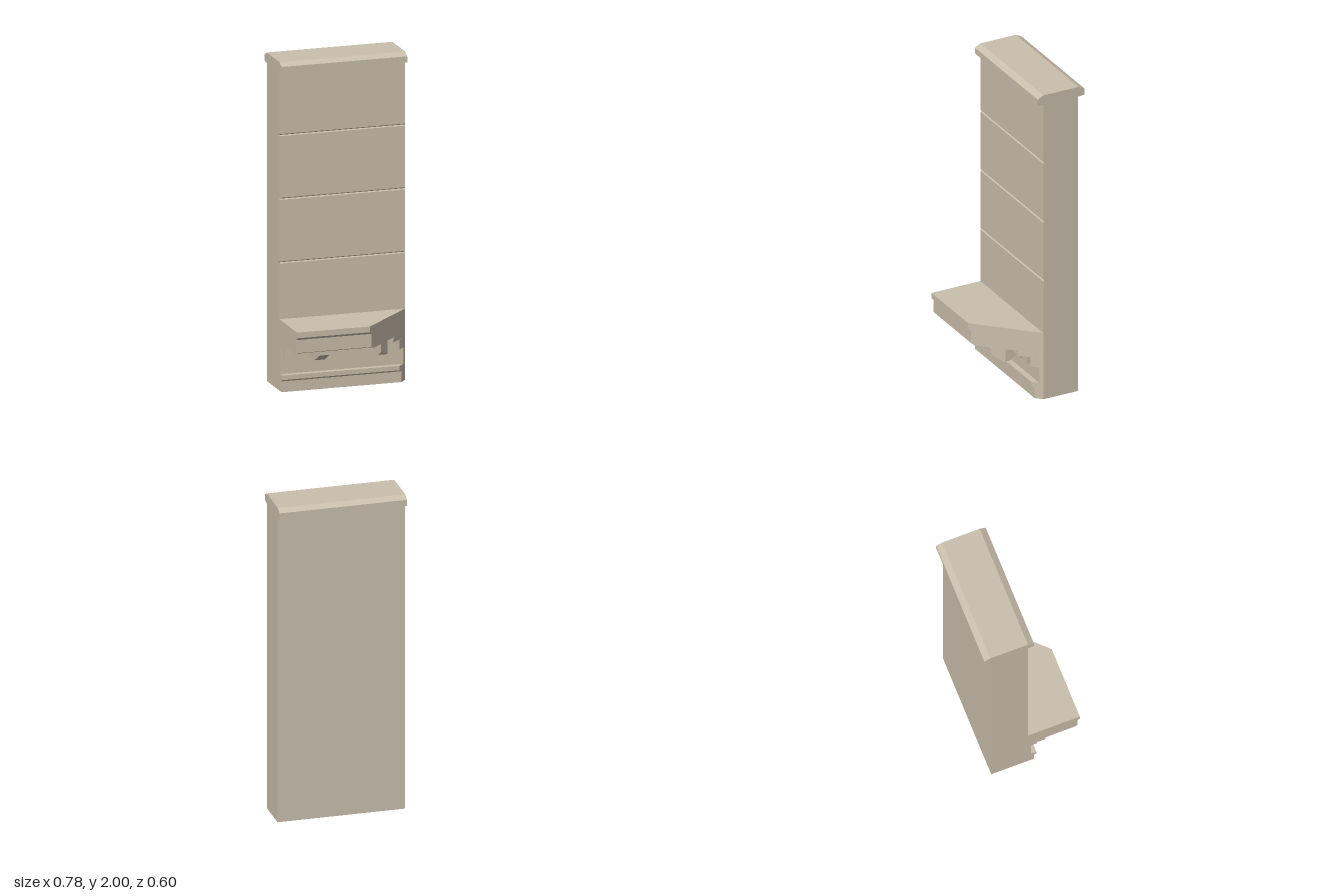
import * as THREE from 'three';

const HALF = 0.39;   // half width of the wall
const CUT = 0.363;   // the lower mouldings end on the mitre plane x + z = CUT

export function createModel() {
  const group = new THREE.Group();
  group.name = 'wallSection';
  const stone = new THREE.MeshStandardMaterial({ color: 0xcabfad });
  stone.name = 'paleStone';

  // Extrude a [z, y] profile from x0 to x1, optionally mitring the right end
  function prism(name, profile, x0 = -HALF, x1 = HALF, mitre = true) {
    const shape = new THREE.Shape(profile.map(([z, y]) => new THREE.Vector2(z, y)));
    const geo = new THREE.ExtrudeGeometry(shape, { depth: x1 - x0, bevelEnabled: false });
    geo.rotateY(-Math.PI / 2).translate(x1, 0, 0);
    if (mitre) {
      const p = geo.attributes.position;
      for (let i = 0; i < p.count; i++) {
        if (p.getX(i) > x1 - 1e-4) p.setX(i, Math.min(x1, CUT - p.getZ(i)));
      }
      geo.computeVertexNormals();
    }
    const mesh = new THREE.Mesh(geo, stone);
    mesh.name = name;
    group.add(mesh);
  }

  // Tall wall with thin V joints across the front
  const wall = [[-0.26, 0], [-0.028, 0]];
  for (const y of [0.78, 1.167, 1.555]) {
    wall.push([-0.028, y - 0.006], [-0.034, y], [-0.028, y + 0.006]);
  }
  wall.push([-0.028, 1.95], [-0.26, 1.95]);
  prism('wall', wall, -HALF, HALF, false);

  // Coping with chamfered top edges
  prism('coping', [
    [-0.303, 1.94], [-0.25, 1.935], [-0.04, 1.935], [0.01, 1.943],
    [0.01, 1.98], [-0.028, 2], [-0.265, 2], [-0.303, 1.98],
  ], -HALF, HALF, false);

  // Projecting ledge
  prism('ledge', [
    [-0.03, 0.295], [0.274, 0.295], [0.274, 0.3], [0.286, 0.306], [0.286, 0.386],
    [0.3, 0.4], [0.3, 0.435], [-0.03, 0.435],
  ]);

  // Band under the ledge, frieze behind the dentils, and plinth
  prism('corniceBand', [[-0.03, 0.265], [0.083, 0.265], [0.083, 0.296], [-0.03, 0.296]]);
  prism('frieze', [[-0.03, 0.1], [-0.01, 0.1], [-0.01, 0.267], [-0.03, 0.267]]);
  prism('plinth', [
    [-0.03, 0], [0.01, 0], [0.01, 0.066], [0.025, 0.077], [0.025, 0.105], [-0.03, 0.105],
  ]);

  // Row of dentils
  for (let i = 0; i < 10; i++) {
    const x = -0.376 + i * 0.079;
    const front = Math.min(0.035, CUT - x);
    prism('dentil', [[-0.012, 0.205], [front, 0.205], [front, 0.267], [-0.012, 0.267]], x, x + 0.042);
  }

  // Brackets under the ledge, the right one clipped by the mitre
  const bracketBack = [[0.05, 0.25], [0.105, 0.215], [0.138, 0.215], [0.138, 0.296], [0.05, 0.296]];
  const bracketFront = [[0.138, 0.215], [0.145, 0.215], [0.24, 0.267], [0.24, 0.296], [0.138, 0.296]];
  const clippedFront = [[0.138, 0.215], [0.145, 0.215], [0.198, 0.244], [0.198, 0.296], [0.138, 0.296]];
  prism('leftBracket', bracketBack, -0.23, -0.168, false);
  prism('leftBracketNose', bracketFront, -0.23, -0.168, false);
  prism('rightBracket', bracketBack, 0.165, 0.225, false);
  prism('rightBracketNose', clippedFront, 0.165, 0.225);

  return group;
}
